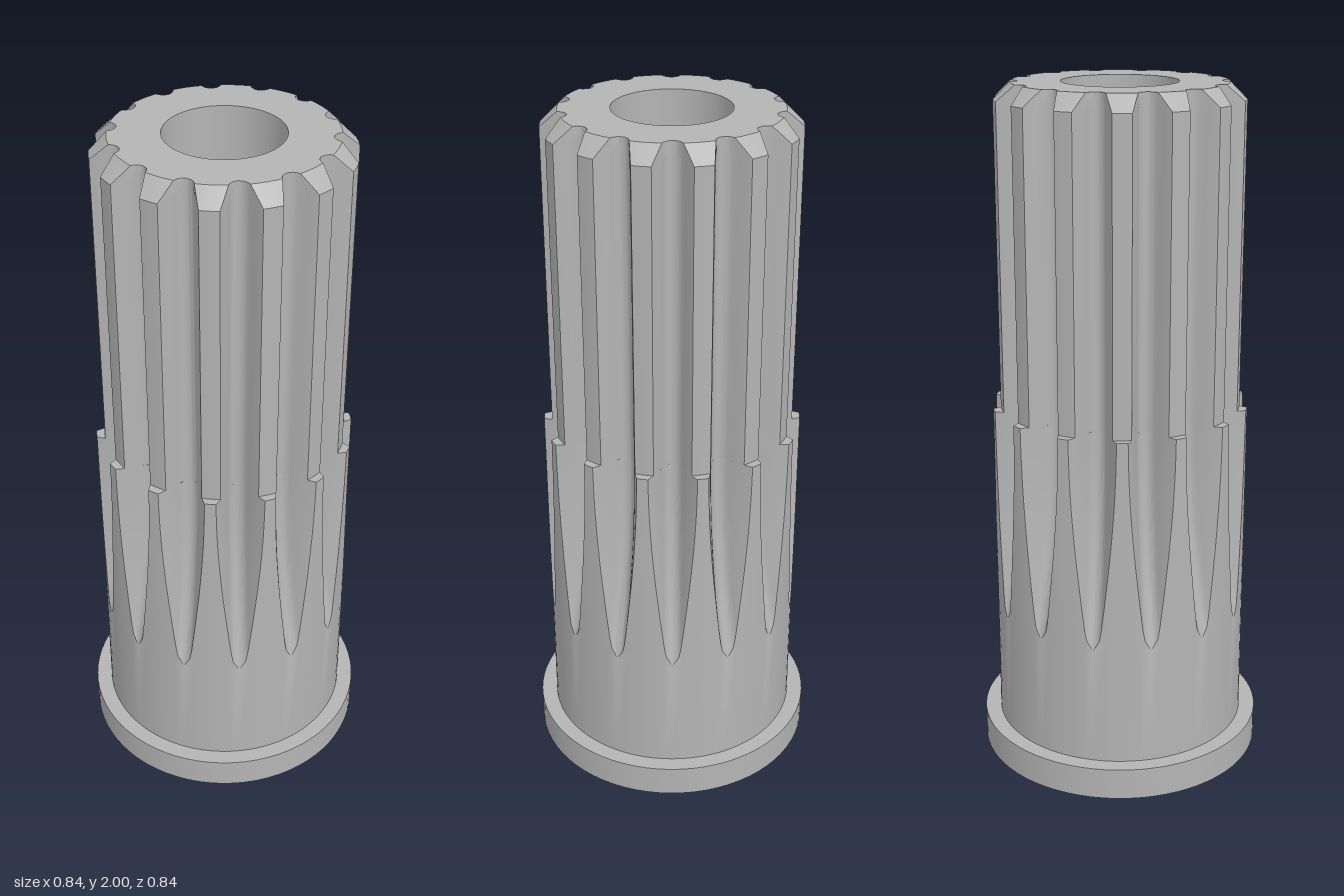
import * as THREE from 'three';
import { toCreasedNormals } from 'three/addons/utils/BufferGeometryUtils.js';

const TEETH = 14, ROOT = 0.28, BODY_R = 0.373, SPLINE_R = 0.35, BORE_R = 0.163;
const RUNOUT_TOP = 1.1, RUNOUT_END = 0.45, STEP_Y = 1.08;
const HALF_STEPS = 8, LAND_STEPS = 6;

// Half width of a groove at height h above its rounded root
const GROOVE = [[0, 0], [0.0015, 0.008], [0.005, 0.015], [0.012, 0.022], [0.03, 0.031],
  [0.05, 0.042], [0.07, 0.055], [0.095, 0.0735]];
function halfWidth(h) {
  for (let i = 1; i < GROOVE.length; i++) {
    const [h0, w0] = GROOVE[i - 1], [h1, w1] = GROOVE[i];
    if (h <= h1 || i === GROOVE.length - 1) return w0 + (w1 - w0) * (h - h0) / (h1 - h0);
  }
}

// The groove floor curves outward until it meets the body surface
function rootRadius(y) {
  const t = Math.min(1, Math.max(0, (RUNOUT_TOP - y) / (RUNOUT_TOP - RUNOUT_END)));
  return ROOT + (BODY_R - ROOT) * t * t;
}

// Closed cross-section [x, y] of the splined shaft at height y with outer radius R
function section(y, R) {
  const root = rootRadius(y);
  let lo = 0, hi = Math.max(0, R - root);
  for (let i = 0; i < 40; i++) {
    const h = (lo + hi) / 2;
    if (Math.hypot(root + h, halfWidth(h)) < R) lo = h; else hi = h;
  }
  const edge = Math.atan2(halfWidth(lo), root + lo), pitch = 2 * Math.PI / TEETH;
  const points = [];
  for (let k = 0; k < TEETH; k++) {
    const add = (r, a) => points.push([r * Math.cos(a + k * pitch), r * Math.sin(a + k * pitch)]);
    for (let i = -HALF_STEPS; i <= HALF_STEPS; i++) {
      const h = lo * (i / HALF_STEPS) ** 2, w = Math.sign(i) * halfWidth(h);
      if (Math.abs(i) === HALF_STEPS) add(R, Math.sign(i) * edge);
      else add(Math.hypot(root + h, w), Math.atan2(w, root + h));
    }
    for (let i = 1; i < LAND_STEPS; i++) add(R, edge + (pitch - 2 * edge) * i / LAND_STEPS);
  }
  return points;
}

// Skin between successive sections, listed from bottom to top
function loft(levels) {
  const rings = levels.map(([y, R]) => section(y, R).map(([x, d]) => new THREE.Vector3(x, y, -d)));
  const positions = [], triangle = new THREE.Triangle();
  const face = (a, b, c) => {
    if (triangle.set(a, b, c).getArea() < 1e-9) return;
    for (const p of [a, b, c]) positions.push(p.x, p.y, p.z);
  };
  for (let j = 0; j + 1 < rings.length; j++) {
    const low = rings[j], high = rings[j + 1];
    for (let i = 0; i < low.length; i++) {
      const n = (i + 1) % low.length;
      face(low[i], low[n], high[n]);
      face(low[i], high[n], high[i]);
    }
  }
  const geometry = new THREE.BufferGeometry();
  geometry.setAttribute('position', new THREE.Float32BufferAttribute(positions, 3));
  return toCreasedNormals(geometry, 0.5);
}

export function createModel() {
  const group = new THREE.Group();
  const steel = new THREE.MeshStandardMaterial({ color: 0xb4b4b4 });
  steel.name = 'steelGrey';
  const add = (name, geometry) => {
    const mesh = new THREE.Mesh(geometry, steel);
    mesh.name = name;
    group.add(mesh);
  };

  // Plain body with the groove run-outs
  const bodyLevels = [[0.095, BODY_R]];
  for (let i = 0; i <= 20; i++) bodyLevels.push([RUNOUT_END + (STEP_Y - RUNOUT_END) * i / 20, BODY_R]);
  bodyLevels.push([STEP_Y, SPLINE_R]);
  add('body', loft(bodyLevels));

  // Splined upper shaft with a chamfered end
  add('splinedShaft', loft([[STEP_Y, SPLINE_R], [RUNOUT_TOP, SPLINE_R], [1.955, SPLINE_R], [2, 0.302]]));

  // Flat end face around the bore
  const end = new THREE.Shape(section(2, 0.302).map(([x, y]) => new THREE.Vector2(x, y)));
  end.holes.push(new THREE.Path().absarc(0, 0, BORE_R, 0, 2 * Math.PI, true));
  add('endFace', new THREE.ShapeGeometry(end, 36).rotateX(-Math.PI / 2).translate(0, 2, 0));

  // Stepped bore and base flange turned as one profile
  const profile = (points) => toCreasedNormals(
    new THREE.LatheGeometry(points.map(([r, y]) => new THREE.Vector2(r, y)), 72), 0.5);
  add('bore', profile([[BORE_R, 2], [BORE_R, 1.0], [0.235, 1.0], [0.235, 0.03], [0.26, 0]]));
  add('flange', profile([[0.26, 0], [0.42, 0], [0.42, 0.095], [0.37, 0.095]]));

  return group;
}
